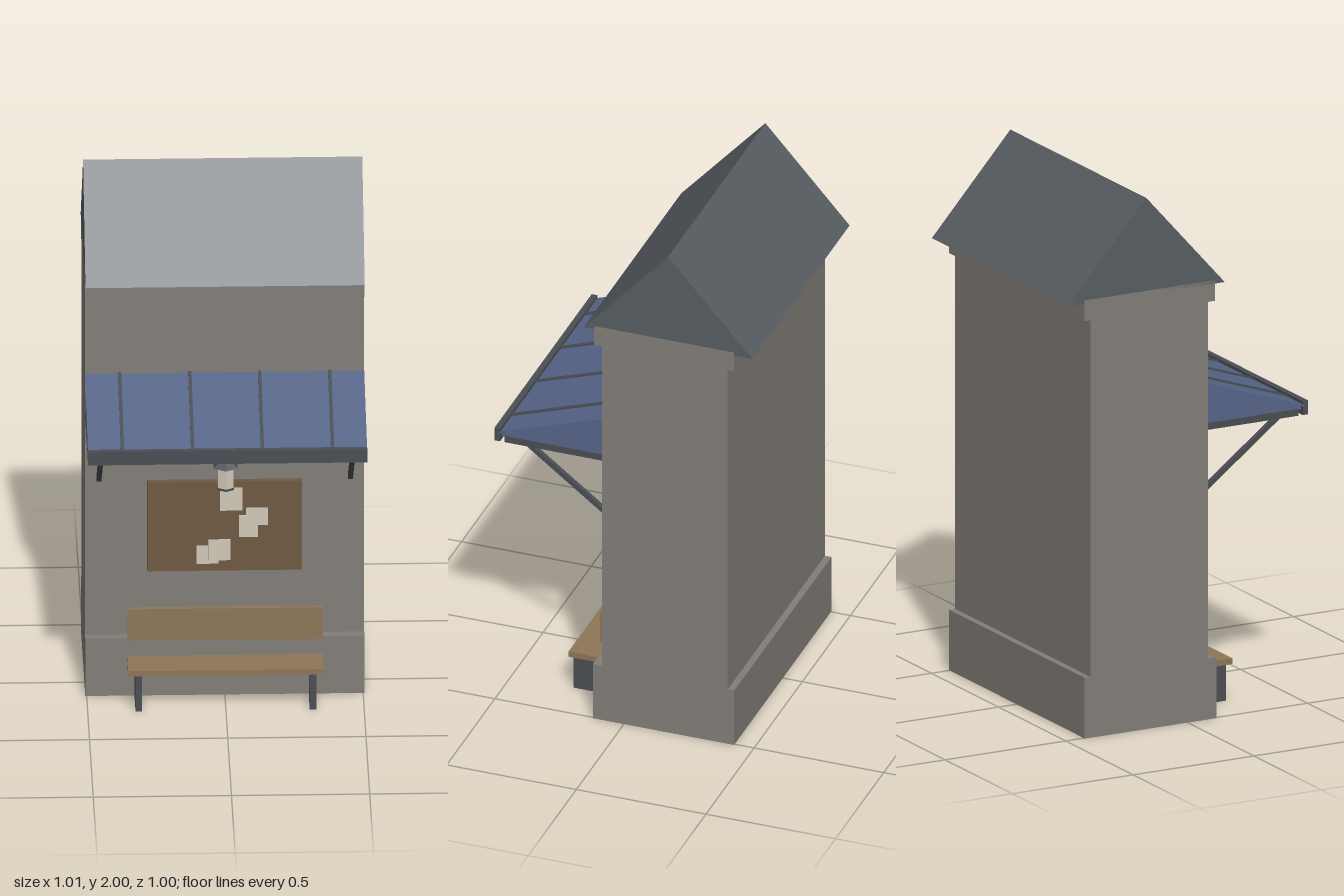
import * as THREE from 'three';

const mat = (name, color, side = THREE.FrontSide) => {
  const m = new THREE.MeshStandardMaterial({ color, side });
  m.name = name;
  return m;
};

export function createModel() {
  const root = new THREE.Group();
  root.name = 'shelterTower';
  const stone = mat('stone', 0x827d77);
  const slate = mat('slate', 0x585d62);
  const iron = mat('iron', 0x4a4e52);
  const blue = mat('blueAwning', 0x566588, THREE.DoubleSide);
  const wood = mat('benchWood', 0x8d7657);
  const cork = mat('boardBrown', 0x6f5841);
  const cream = mat('cream', 0xcfc9b8);

  const add = (name, geometry, material, parent = root) => {
    const m = new THREE.Mesh(geometry, material);
    m.name = name;
    parent.add(m);
    return m;
  };
  // Box given by its limits on each axis
  const box = (name, material, [x0, x1], [y0, y1], [z0, z1], parent) => {
    const m = add(name, new THREE.BoxGeometry(x1 - x0, y1 - y0, z1 - z0), material, parent);
    m.position.set((x0 + x1) / 2, (y0 + y1) / 2, (z0 + z1) / 2);
    return m;
  };
  // Prism from a [z, y] outline, centred on x
  const prism = (name, material, points, width, x = 0, parent) => {
    const shape = new THREE.Shape(points.map(([z, y]) => new THREE.Vector2(z, y)));
    const g = new THREE.ExtrudeGeometry(shape, { depth: width, bevelEnabled: false });
    g.translate(0, 0, -width / 2);
    g.rotateY(-Math.PI / 2);
    const m = add(name, g, material, parent);
    m.position.x = x;
    return m;
  };
  // Square bar between two [z, y] points
  const bar = (name, a, b, x, width, thick, parent) => {
    const dz = b[0] - a[0], dy = b[1] - a[1];
    const m = add(name, new THREE.BoxGeometry(width, thick, Math.hypot(dz, dy)), iron, parent);
    m.position.set(x, (a[1] + b[1]) / 2, (a[0] + b[0]) / 2);
    m.rotation.x = -Math.atan2(dy, dz);
    return m;
  };

  const W = 0.505;
  const wall = 0.085;

  // Building
  box('tower', stone, [-W, W], [0.2, 1.64], [-0.4, wall]);
  box('plinth', stone, [-W, W], [0, 0.228], [-0.425, 0.12]);
  box('cornice', stone, [-W, W], [1.572, 1.65], [-0.425, 0.115]);
  prism('roof', slate, [[-0.495, 1.637], [0.155, 1.637], [-0.17, 2]], 2 * W);
  box('wallPlateRight', stone, [-0.254, -0.116], [0.88, 0.975], [wall, wall + 0.003]);
  box('wallPlateLeft', stone, [0.245, 0.392], [0.88, 0.975], [wall, wall + 0.003]);

  // Awning
  const awning = new THREE.Group();
  awning.name = 'awning';
  root.add(awning);
  prism('awningPanel', blue, [[wall, 1.257], [0.485, 1.12], [0.485, 1.128], [wall, 1.265]], 2 * W, 0, awning);
  for (const x of [-0.38, -0.126, 0.126, 0.38]) {
    bar('awningRib', [wall, 1.266], [0.482, 1.13], x, 0.012, 0.012, awning);
  }
  box('awningFascia', iron, [-W, W], [1.09, 1.142], [0.478, 0.5], awning);
  box('awningFrontBeam', iron, [-W, W], [1.09, 1.115], [0.435, 0.46], awning);
  box('awningBackBeam', iron, [-W, W], [1.09, 1.115], [wall, 0.105], awning);
  for (const s of [-1, 1]) {
    prism('awningSide', blue, [[wall, 1.112], [0.47, 1.112], [0.47, 1.124], [wall, 1.258]], 0.006, s * (W - 0.004), awning);
    box('awningSideBeam', iron, [s * 0.4925 - 0.0125, s * 0.4925 + 0.0125], [1.09, 1.116], [wall, 0.46], awning);
    bar('awningBrace', [wall, 0.845], [0.412, 1.092], s * 0.455, 0.018, 0.018, awning);
  }

  // Lantern on its bracket
  const lantern = new THREE.Group();
  lantern.name = 'lantern';
  root.add(lantern);
  const turned = (name, material, rTop, rBottom, y0, y1) => {
    const g = new THREE.CylinderGeometry(rTop, rBottom, y1 - y0, 6).toNonIndexed();
    g.computeVertexNormals();
    add(name, g, material, lantern).position.set(0, (y0 + y1) / 2, 0.217);
  };
  turned('lanternBase', iron, 0.035, 0.035, 0.865, 0.873);
  turned('lanternGlass', cream, 0.033, 0.033, 0.873, 0.953);
  turned('lanternCap', iron, 0.014, 0.05, 0.953, 0.988);
  box('lanternArm', iron, [-0.007, 0.007], [0.967, 0.981], [wall, 0.217], lantern);
  box('lanternWallBar', iron, [-0.007, 0.007], [0.86, 0.981], [wall, 0.093], lantern);
  bar('lanternStrut', [0.088, 0.88], [0.195, 0.972], 0, 0.012, 0.012, lantern);

  // Notice board with pinned sheets
  box('noticeBoard', cork, [-0.28, 0.28], [0.487, 0.84], [wall, 0.107]);
  const sheets = [
    [-0.017, 0.064, 0.727, 0.817], [0.076, 0.156, 0.67, 0.738], [0.052, 0.12, 0.622, 0.708],
    [-0.06, 0.02, 0.532, 0.614], [-0.102, -0.022, 0.517, 0.588],
  ];
  sheets.forEach(([x0, x1, y0, y1], i) => {
    const z = 0.109 + (i % 2) * 0.004;
    box('sheet', cream, [x0, x1], [y0, y1], [z, z + 0.004]);
  });

  // Bench
  const bench = new THREE.Group();
  bench.name = 'bench';
  root.add(bench);
  box('benchSeat', wood, [-0.354, 0.354], [0.143, 0.165], [0.137, 0.27], bench);
  box('benchBack', wood, [-0.354, 0.354], [0.23, 0.355], [0.13, 0.148], bench);
  for (const s of [-1, 1]) {
    box('benchLeg', iron, [s * 0.315 - 0.012, s * 0.315 + 0.012], [0, 0.143], [0.147, 0.26], bench);
  }
  return root;
}
